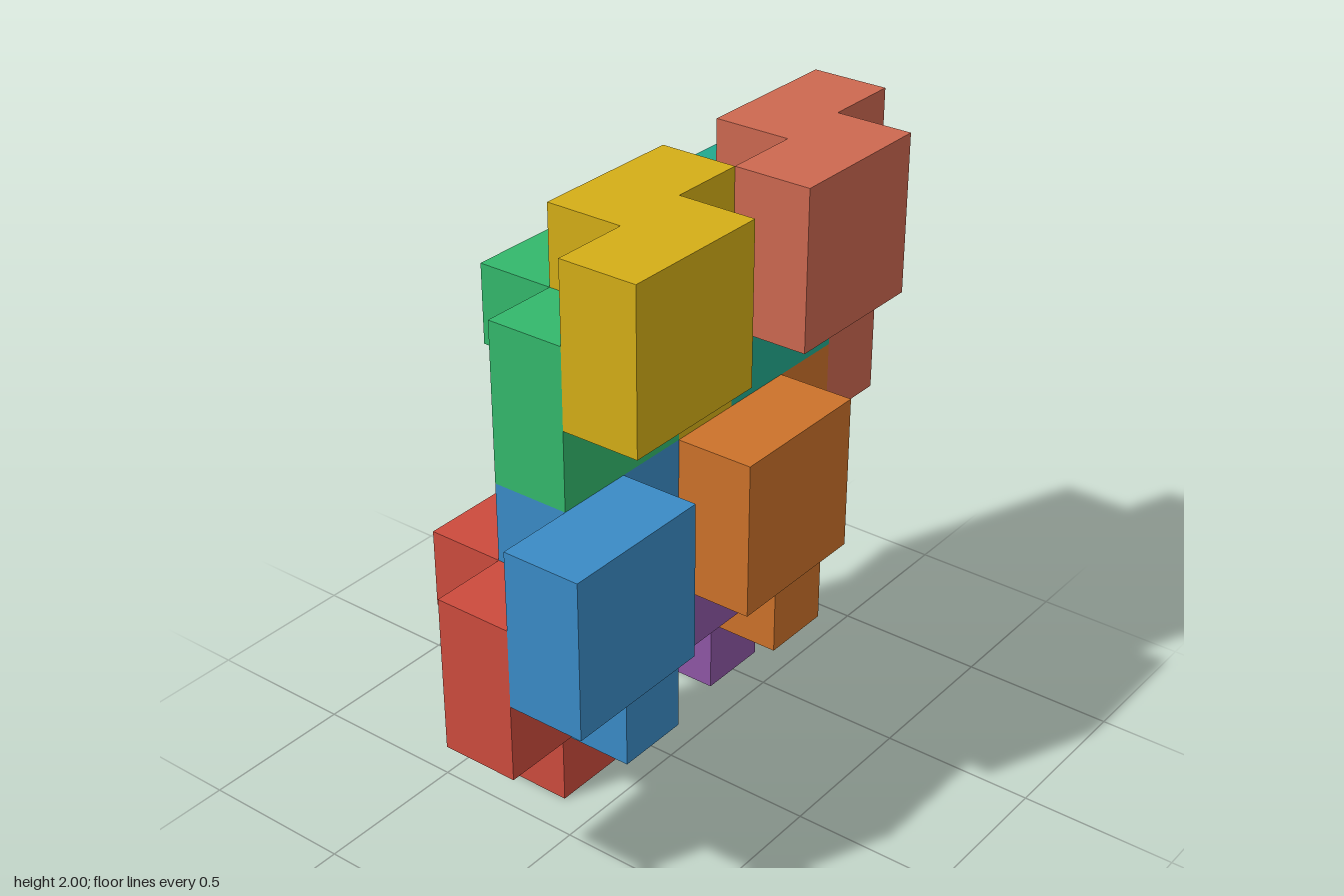
import * as THREE from 'three';

const U = 0.25; // edge of one unit cube

// One interlocking piece: a hooked slab (leg plus one-cell arm) with a 2x2 block on its front.
// The origin is the top right corner of the leg, on the slab's back face.
function makePiece(name, color) {
  const piece = new THREE.Group();
  piece.name = name;
  const material = new THREE.MeshStandardMaterial({ color, flatShading: true });

  const outline = [[0, 0], [-2, 0], [-2, -1], [-1, -1], [-1, -4], [0, -4]];
  const shape = new THREE.Shape(outline.map(([x, y]) => new THREE.Vector2(x * U, y * U)));
  const hook = new THREE.Mesh(
    new THREE.ExtrudeGeometry(shape, { depth: U, bevelEnabled: false }), material);
  hook.name = 'hookedLeg';

  const block = new THREE.Mesh(new THREE.BoxGeometry(2 * U, 2 * U, U), material);
  block.name = 'frontBlock';
  block.position.set(-2 * U, -U, 1.5 * U);

  piece.add(hook, block);
  return piece;
}

export function createModel() {
  const model = new THREE.Group();
  model.name = 'interlockingBlocks';

  // name, colour, right edge x, top y, back z
  const pieces = [
    ['yellowPiece', 0xd4ae17, 0.125, 2, -0.125],
    ['salmonPiece', 0xcd6850, 0.875, 2, -0.125],
    ['bluePiece', 0x3a8bc6, -0.125, 1.25, -0.125],
    ['orangePiece', 0xcc722a, 0.625, 1.25, -0.125],
    ['greenPiece', 0x33b86c, 0.125, 1.75, -0.375],
    ['tealPiece', 0x21a98e, 0.875, 1.75, -0.375],
    ['redPiece', 0xcc4b3d, -0.125, 1, -0.375],
    ['purplePiece', 0x8e56a5, 0.625, 1, -0.375],
  ];
  for (const [name, color, x, y, z] of pieces) {
    const piece = makePiece(name, color);
    piece.position.set(x, y, z);
    model.add(piece);
  }
  return model;
}
